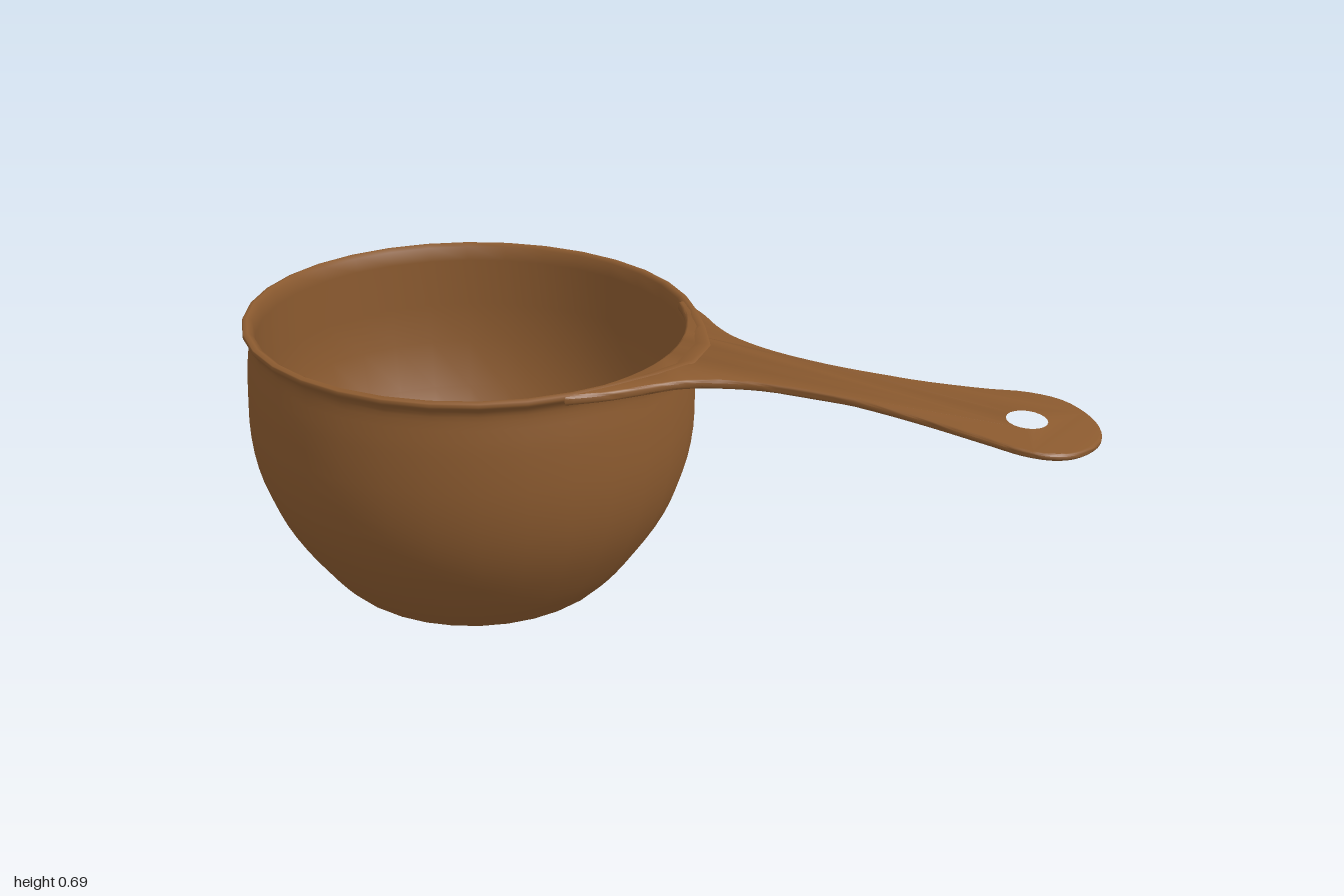
import * as THREE from 'three';
import { mergeVertices, toCreasedNormals } from 'three/addons/utils/BufferGeometryUtils.js';

const BOWL_X = -0.465;
const material = new THREE.MeshStandardMaterial({ color: 0x8b5a2f });

const smooth = (points, n) =>
  new THREE.SplineCurve(points.map(([x, y]) => new THREE.Vector2(x, y))).getPoints(n);

// Bowl: one closed wall profile, from under the base, over the rim, to the floor
function makeBowl() {
  const under = [[0, 0.035], [0.05, 0.035], [0.06, 0.02], [0.09, 0.018], [0.105, 0.028], [0.16, 0.024], [0.25, 0.008]];
  const outer = [[0.29, 0], [0.325, 0.008], [0.36, 0.04], [0.415, 0.11], [0.475, 0.21], [0.512, 0.31],
    [0.528, 0.42], [0.525, 0.54], [0.516, 0.61], [0.518, 0.635], [0.529, 0.65], [0.528, 0.66]];
  const inner = [[0.518, 0.663], [0.506, 0.655], [0.502, 0.62], [0.505, 0.5], [0.5, 0.4], [0.475, 0.28],
    [0.42, 0.17], [0.36, 0.1], [0.31, 0.068], [0.27, 0.058], [0, 0.056]];
  const profile = [
    ...under.map(([x, y]) => new THREE.Vector2(x, y)),
    ...smooth(outer, 30),
    ...inner.map(([x, y]) => new THREE.Vector2(x, y)),
  ];
  const lathe = new THREE.LatheGeometry(profile, 32);
  lathe.deleteAttribute('uv');
  lathe.deleteAttribute('normal');
  const geometry = mergeVertices(lathe, 1e-5);

  // Flare the outer wall just under the rim where it meets the handle
  const p = geometry.attributes.position;
  for (let i = 0; i < p.count; i++) {
    const x = p.getX(i), y = p.getY(i), z = p.getZ(i);
    const r = Math.hypot(x, z);
    if (y < 0.58 || r < 0.512) continue;
    const angle = Math.atan2(z, x) + 0.08;
    const lift = Math.min((y - 0.58) / 0.065, 1) ** 2;
    const k = 1 + (0.055 * lift * Math.exp(-((angle / 0.3) ** 2))) / r;
    p.setXYZ(i, x * k, y, z * k);
  }
  geometry.computeVertexNormals();

  const bowl = new THREE.Mesh(geometry, material);
  bowl.name = 'bowl';
  bowl.position.set(BOWL_X - 0.003, 0.013, 0.01);
  bowl.rotation.set(-0.033, 0, -0.01);
  return bowl;
}

// Handle: flat outline with a hanging hole, bent to droop and twist slightly
function makeHandle() {
  const outline = [[-0.08, 0.355], [0, 0.3], [0.07, 0.24], [0.14, 0.2], [0.25, 0.172], [0.4, 0.166],
    [0.55, 0.186], [0.7, 0.24], [0.79, 0.286], [0.87, 0.294], [0.94, 0.25], [0.985, 0.185], [1, 0.11],
    [0.98, 0.03], [0.94, -0.015], [0.88, -0.031], [0.8, -0.022], [0.65, -0.005], [0.5, 0], [0.35, -0.012],
    [0.25, -0.038], [0.15, -0.092], [0.09, -0.165], [0.03, -0.24], [-0.035, -0.3]];
  const points = smooth(outline, 80);
  // Inner edge follows the rim of the bowl
  for (let i = 0; i <= 16; i++) {
    const a = -0.58 + (1.31 * i) / 16;
    points.push(new THREE.Vector2(BOWL_X + 0.508 * Math.cos(a), 0.508 * Math.sin(a)));
  }
  const shape = new THREE.Shape(points);
  const hole = new THREE.Path();
  hole.absellipse(0.84, 0.13, 0.05, 0.056, 0, Math.PI * 2, true);
  shape.holes.push(hole);

  const edge = 0.006;
  const flat = new THREE.ExtrudeGeometry(shape, {
    depth: 0.008, bevelThickness: edge, bevelSize: edge, bevelOffset: -edge, bevelSegments: 2, curveSegments: 10,
  });
  flat.translate(0, 0, -0.014).rotateX(-Math.PI / 2);

  const p = flat.attributes.position;
  for (let i = 0; i < p.count; i++) {
    const x = p.getX(i), z = p.getZ(i), t = Math.max(x, 0);
    const top = 0.669 - 0.012 * t - 0.045 * Math.max(0, x - 0.5) + (0.033 + 0.04 * t) * z;
    p.setY(i, top + p.getY(i) * (1.15 - 0.4 * t));
  }
  const handle = new THREE.Mesh(toCreasedNormals(flat, 0.9), material);
  handle.name = 'handle';
  return handle;
}

export function createModel() {
  const group = new THREE.Group();
  group.name = 'ladleCup';
  group.add(makeBowl(), makeHandle());
  return group;
}
